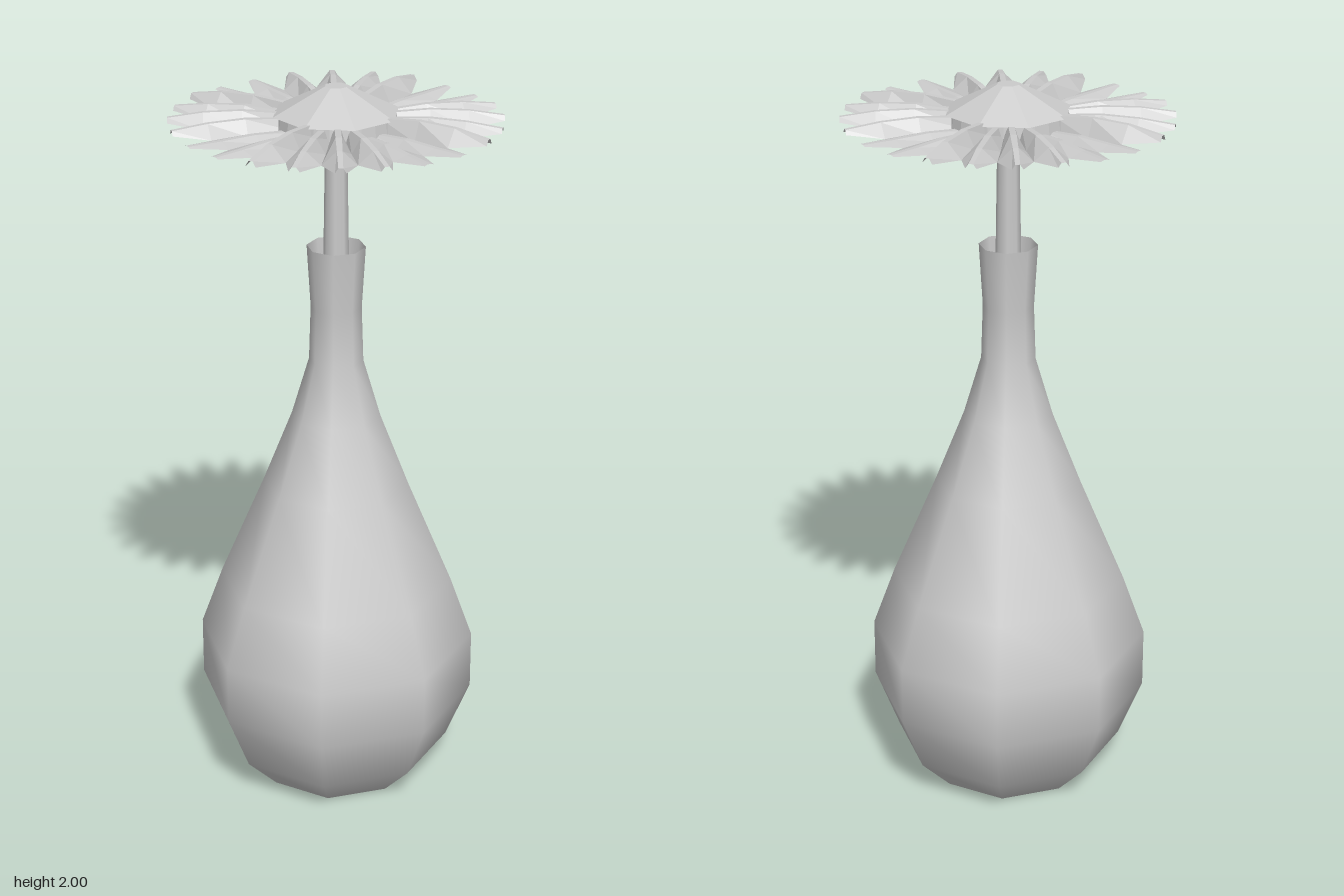
import * as THREE from 'three';

const smooth = new THREE.MeshStandardMaterial({ color: 0xcccccc, side: THREE.DoubleSide });
const flat = new THREE.MeshStandardMaterial({ color: 0xcccccc, side: THREE.DoubleSide, flatShading: true });

function add(parent, name, geometry, material, y = 0) {
  const mesh = new THREE.Mesh(geometry, material);
  mesh.name = name;
  mesh.position.y = y;
  parent.add(mesh);
  return mesh;
}

// One folded petal along +x: rows of [radius, edge half width, edge y, ridge half width, ridge y]
function petalGeometry(rows) {
  const positions = [], indices = [];
  for (const [r, w, edgeY, rw, ridgeY] of rows) {
    positions.push(r, edgeY, w, r, ridgeY, rw, r, ridgeY, -rw, r, edgeY, -w);
  }
  for (let i = 0; i < rows.length - 1; i++) {
    for (let j = 0; j < 3; j++) {
      const a = i * 4 + j, b = a + 4;
      indices.push(a, b, a + 1, b, b + 1, a + 1);
    }
  }
  const geometry = new THREE.BufferGeometry();
  geometry.setAttribute('position', new THREE.Float32BufferAttribute(positions, 3));
  geometry.setIndex(indices);
  geometry.computeVertexNormals();
  return geometry;
}

export function createModel() {
  const model = new THREE.Group();
  model.name = 'flowerVase';

  // Eight-sided vase, open at the rim
  const profile = [
    [0.22, 0], [0.315, 0.1], [0.381, 0.265], [0.381, 0.43], [0.32, 0.6],
    [0.198, 0.89], [0.12, 1.09], [0.073, 1.25], [0.068, 1.4], [0.078, 1.57],
  ].map(([x, y]) => new THREE.Vector2(x, y));
  add(model, 'vase', new THREE.LatheGeometry(profile, 8), smooth);
  add(model, 'vaseBase', new THREE.CircleGeometry(0.22, 8).rotateX(Math.PI / 2), smooth);

  // Stem, slightly thicker toward the vase
  add(model, 'stem', new THREE.CylinderGeometry(0.028, 0.036, 0.5, 8), smooth, 1.65);
  add(model, 'lowerStem', new THREE.CylinderGeometry(0.036, 0.036, 1.35, 8), smooth, 0.725);

  const flower = new THREE.Group();
  flower.name = 'flower';
  model.add(flower);

  // Six petals per quarter: flat ones at the ends, folded ones between
  const ridges = [0.003, 0.035, 0.026, 0.03, 0.026, 0.003];
  const half = Math.tan(Math.PI / 24);
  for (let i = 0; i < 24; i++) {
    const lift = ridges[i % 6];
    const rows = [
      [0.13, 0.13 * half, 1.9, 0.008, 1.9 + lift],
      [0.24, 0.24 * half, 1.895, 0.008, 1.908 + lift],
      [0.338, 0.338 * half, 1.898, 0.007, 1.907 + lift * 0.9],
      [0.43, 0.014, 1.908, 0.006, 1.91 + lift * 0.35],
    ];
    const petal = add(flower, 'petal', petalGeometry(rows), flat);
    petal.rotation.y = (i + 0.5) * Math.PI / 12;
  }

  // Raised centre with a small flat top, and the round underside
  const centre = add(flower, 'flowerCentre', new THREE.CylinderGeometry(0.03, 0.167, 0.07, 8), flat, 1.965);
  centre.rotation.y = Math.PI / 8;
  add(flower, 'flowerUnderside', new THREE.CylinderGeometry(0.155, 0.16, 0.04, 24), flat, 1.91);

  return model;
}
